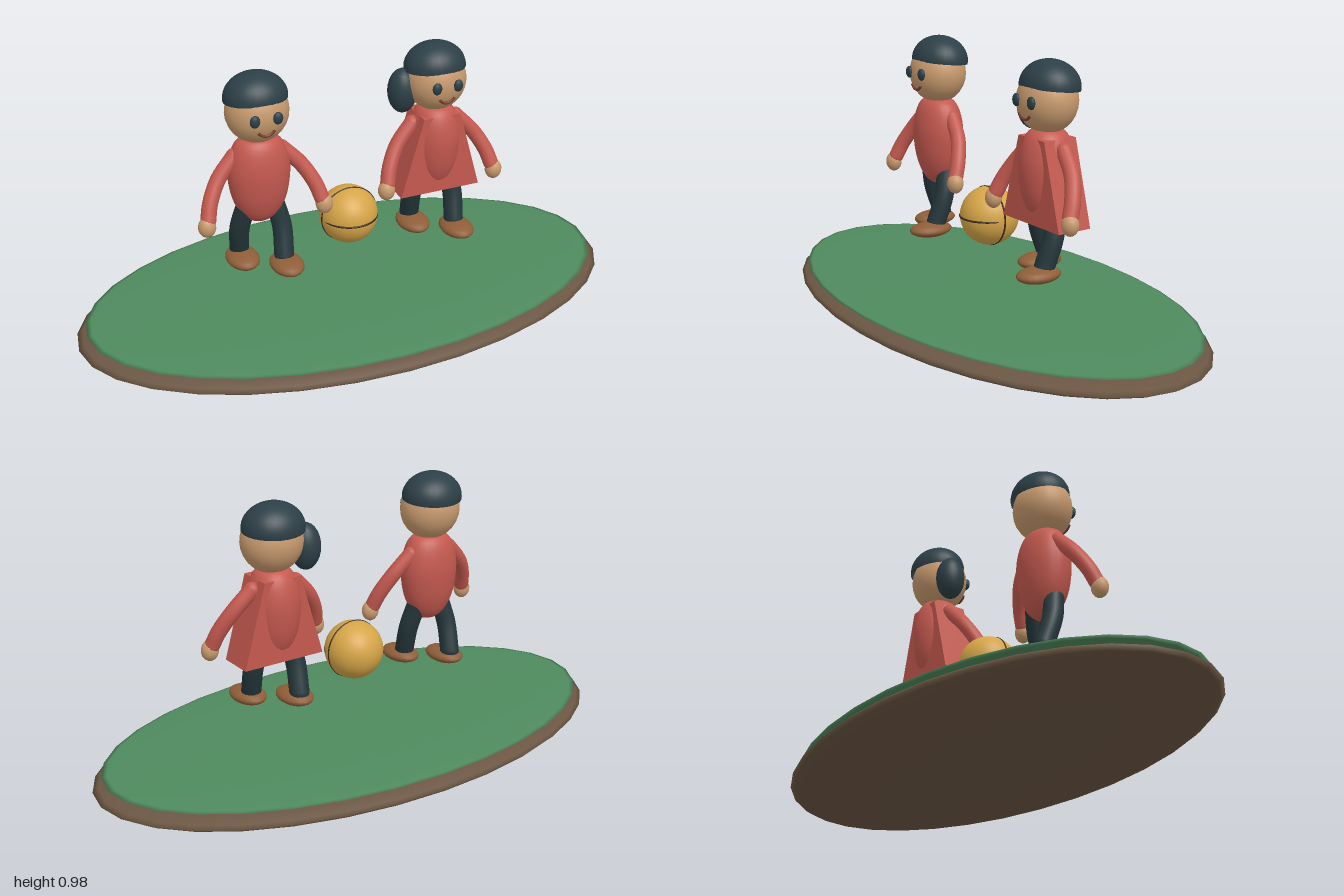
import * as THREE from 'three';

const mat = (color) => new THREE.MeshStandardMaterial({ color });
const M = {
  skin: mat(0xc89a6e), hair: mat(0x2c3f47), red: mat(0xc4594f), trousers: mat(0x24363b),
  shoe: mat(0x8f5e38), ball: mat(0xd6a548), grass: mat(0x4f8a5e), soil: mat(0x6b5643),
  dark: mat(0x3a2a1c), lip: mat(0x7a3f2c),
};
M.hair.side = THREE.DoubleSide;

const V = (x, y, z) => new THREE.Vector3(x, y, z);

function add(parent, name, geometry, material, x = 0, y = 0, z = 0) {
  const mesh = new THREE.Mesh(geometry, material);
  mesh.name = name;
  mesh.position.set(x, y, z);
  parent.add(mesh);
  return mesh;
}

// Ellipsoid given by its centre and three radii
function ellipsoid(parent, name, material, c, r, segs = 28) {
  const mesh = add(parent, name, new THREE.SphereGeometry(1, segs, segs / 2), material, ...c);
  mesh.scale.set(...r);
  return mesh;
}

// Round limb along a smooth curve, with rounded ends
function limb(parent, name, material, points, radius) {
  const curve = new THREE.CatmullRomCurve3(points);
  add(parent, name, new THREE.TubeGeometry(curve, 16, radius, 14), material);
  for (const p of [points[0], points[points.length - 1]])
    add(parent, name + 'End', new THREE.SphereGeometry(radius, 14, 10), material, p.x, p.y, p.z);
}

function child(name, x, withDress) {
  const g = new THREE.Group();
  g.name = name;
  g.position.x = x;

  // Torso
  const profile = [[0, 0.43], [0.035, 0.437], [0.07, 0.468], [0.098, 0.53], [0.11, 0.61],
    [0.105, 0.67], [0.088, 0.72], [0.06, 0.748], [0, 0.765]].map(([r, y]) => new THREE.Vector2(r, y));
  const smooth = new THREE.SplineCurve(profile).getPoints(24);
  smooth[0].x = smooth[24].x = 0;
  const torso = add(g, 'torso', new THREE.LatheGeometry(smooth, 28), M.red);
  torso.scale.set(withDress ? 0.85 : 1, 1, withDress ? 0.87 : 0.76);

  // Flat-sided flared dress
  if (withDress) {
    const s = new THREE.Shape();
    s.moveTo(-0.153, 0.433);
    s.lineTo(0.153, 0.433);
    s.lineTo(0.07, 0.725);
    s.lineTo(-0.07, 0.725);
    s.closePath();
    add(g, 'dress', new THREE.ExtrudeGeometry(s, { depth: 0.13, bevelEnabled: false }), M.red, 0, 0, -0.065);
  }

  // Head, cap of hair and face
  ellipsoid(g, 'head', M.skin, [0, 0.845, 0], [0.11, 0.11, 0.1]);
  const hair = add(g, 'hair',
    new THREE.SphereGeometry(1, 28, 12, 0, Math.PI * 2, 0, Math.PI * 0.53), M.hair, 0, 0.892, -0.01);
  hair.scale.set(0.111, 0.088, 0.098);
  hair.rotation.x = -0.1;
  const smile = add(g, 'mouth', new THREE.TorusGeometry(0.032, 0.005, 8, 16, Math.PI * 0.7),
    M.lip, 0, 0.822, 0.092);
  smile.rotation.z = Math.PI * 1.15;
  if (withDress) ellipsoid(g, 'ponytail', M.hair, [-0.115, 0.81, -0.025], [0.053, 0.082, 0.053]);

  // Paired parts; the left leg strides forward
  for (const s of [-1, 1]) {
    const side = s > 0 ? 'left' : 'right';
    ellipsoid(g, side + 'Eye', M.hair, [s * 0.04, 0.85, 0.096], [0.018, 0.022, 0.011], 16);
    limb(g, side + 'Arm', M.red,
      [V(s * 0.085, 0.69, -0.005), V(s * 0.15, 0.62, 0.012), V(s * 0.19, 0.55, 0.04), V(s * 0.205, 0.5, 0.06)], 0.027);
    ellipsoid(g, side + 'Hand', M.skin, [s * 0.212, 0.48, 0.066], [0.031, 0.037, 0.029], 18);
    limb(g, side + 'Leg', M.trousers,
      [V(s * 0.052, 0.49, 0), V(s * 0.07, 0.4, s * 0.022), V(s * 0.064, 0.3, s * 0.054)], 0.035);
    ellipsoid(g, side + 'Shoe', M.shoe, [s * 0.064, 0.278, s * 0.05 + 0.028], [0.058, 0.027, 0.083], 22);
  }
  return g;
}

export function createModel() {
  const model = new THREE.Group();
  model.name = 'childrenPlaying';

  // Oval ground
  ellipsoid(model, 'soil', M.soil, [0, 0.06, 0], [1, 0.057, 0.545], 32);
  ellipsoid(model, 'grass', M.grass, [0, 0.105, 0], [0.967, 0.018, 0.523], 32);

  // Ball with two thin seams
  add(model, 'ball', new THREE.SphereGeometry(0.105, 32, 20), M.ball, 0, 0.38, 0);
  add(model, 'uprightSeam', new THREE.TorusGeometry(0.103, 0.004, 8, 40), M.dark, 0, 0.38, 0.006);
  const seam = add(model, 'levelSeam', new THREE.TorusGeometry(0.1, 0.0035, 8, 40), M.dark, 0, 0.38, 0.006);
  seam.rotation.x = Math.PI / 2;

  model.add(child('boy', -0.33, false), child('girl', 0.33, true));
  return model;
}
